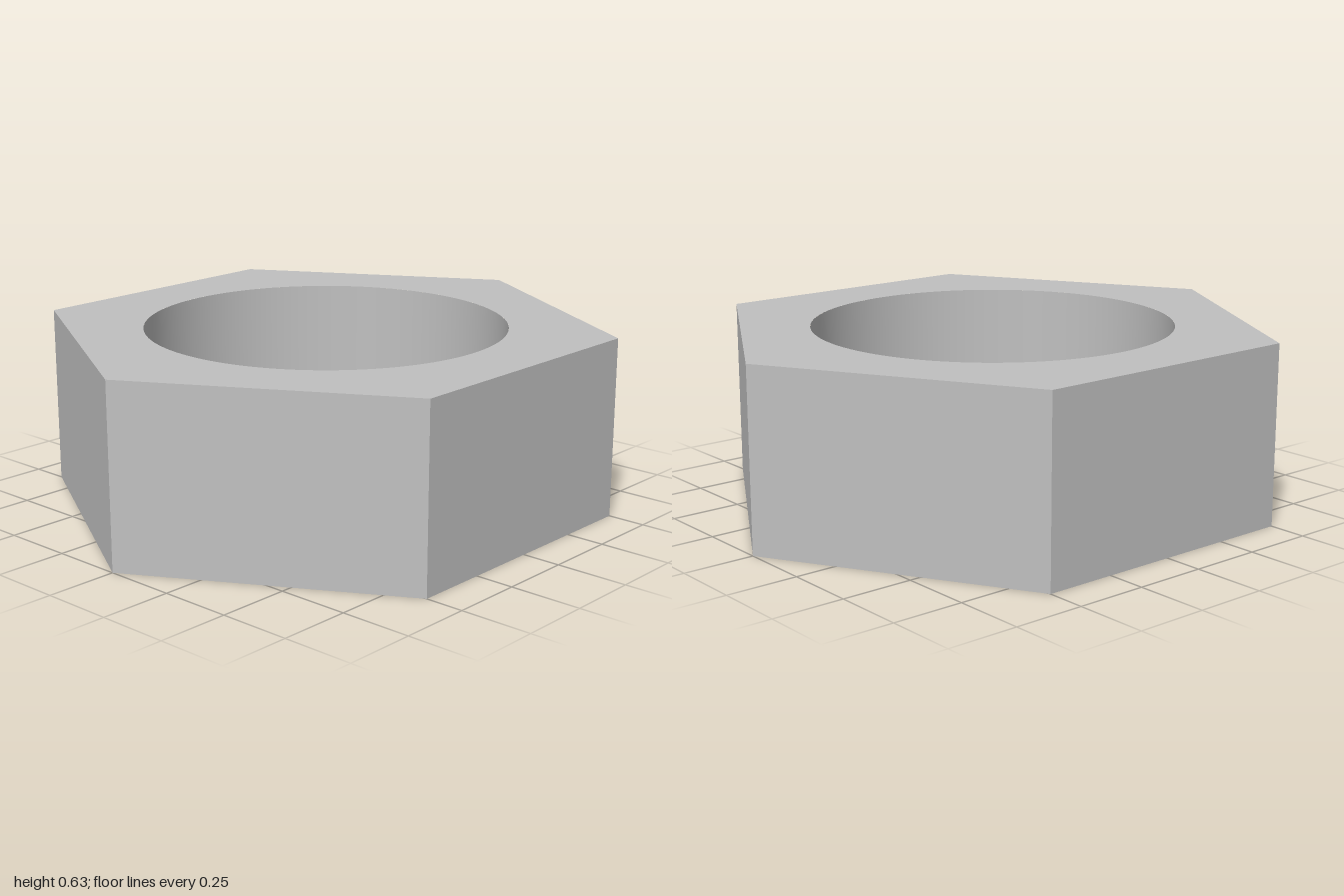
import * as THREE from 'three';

const HEIGHT = 0.63, LEDGE = 0.125;
const WIDE = 0.63, NARROW = 0.567;
const SEGMENTS = 96;

export function createModel() {
  const group = new THREE.Group();
  group.name = 'hexNut';
  const steel = new THREE.MeshStandardMaterial({ color: 0xc0c0c0 });
  steel.name = 'steelGrey';

  const add = (name, geometry) => {
    const mesh = new THREE.Mesh(geometry, steel);
    mesh.name = name;
    group.add(mesh);
    return mesh;
  };

  // Six flat outer sides, with corners on the x axis
  const sides = new THREE.CylinderGeometry(1, 1, HEIGHT, 6, 1, true, Math.PI / 2).toNonIndexed();
  sides.computeVertexNormals();
  sides.translate(0, HEIGHT / 2, 0);
  add('hexSides', sides);

  // Hexagonal end face with a round hole
  const endFace = (holeRadius) => {
    const corners = [];
    for (let i = 0; i < 6; i++) {
      const a = (i * Math.PI) / 3;
      corners.push(new THREE.Vector2(Math.cos(a), Math.sin(a)));
    }
    const shape = new THREE.Shape(corners);
    shape.holes.push(new THREE.Path().absarc(0, 0, holeRadius, 0, Math.PI * 2, true));
    return new THREE.ShapeGeometry(shape, SEGMENTS);
  };
  add('topFace', endFace(WIDE).rotateX(-Math.PI / 2).translate(0, HEIGHT, 0));
  add('bottomFace', endFace(NARROW).rotateX(Math.PI / 2));

  // Stepped bore, each band separate so the edges stay sharp
  const bore = [
    ['upperBore', WIDE, HEIGHT, WIDE, LEDGE],
    ['boreLedge', WIDE, LEDGE, NARROW, LEDGE],
    ['lowerBore', NARROW, LEDGE, NARROW, 0],
  ];
  for (const [name, r1, y1, r2, y2] of bore) {
    const profile = [new THREE.Vector2(r1, y1), new THREE.Vector2(r2, y2)];
    add(name, new THREE.LatheGeometry(profile, SEGMENTS));
  }

  return group;
}
